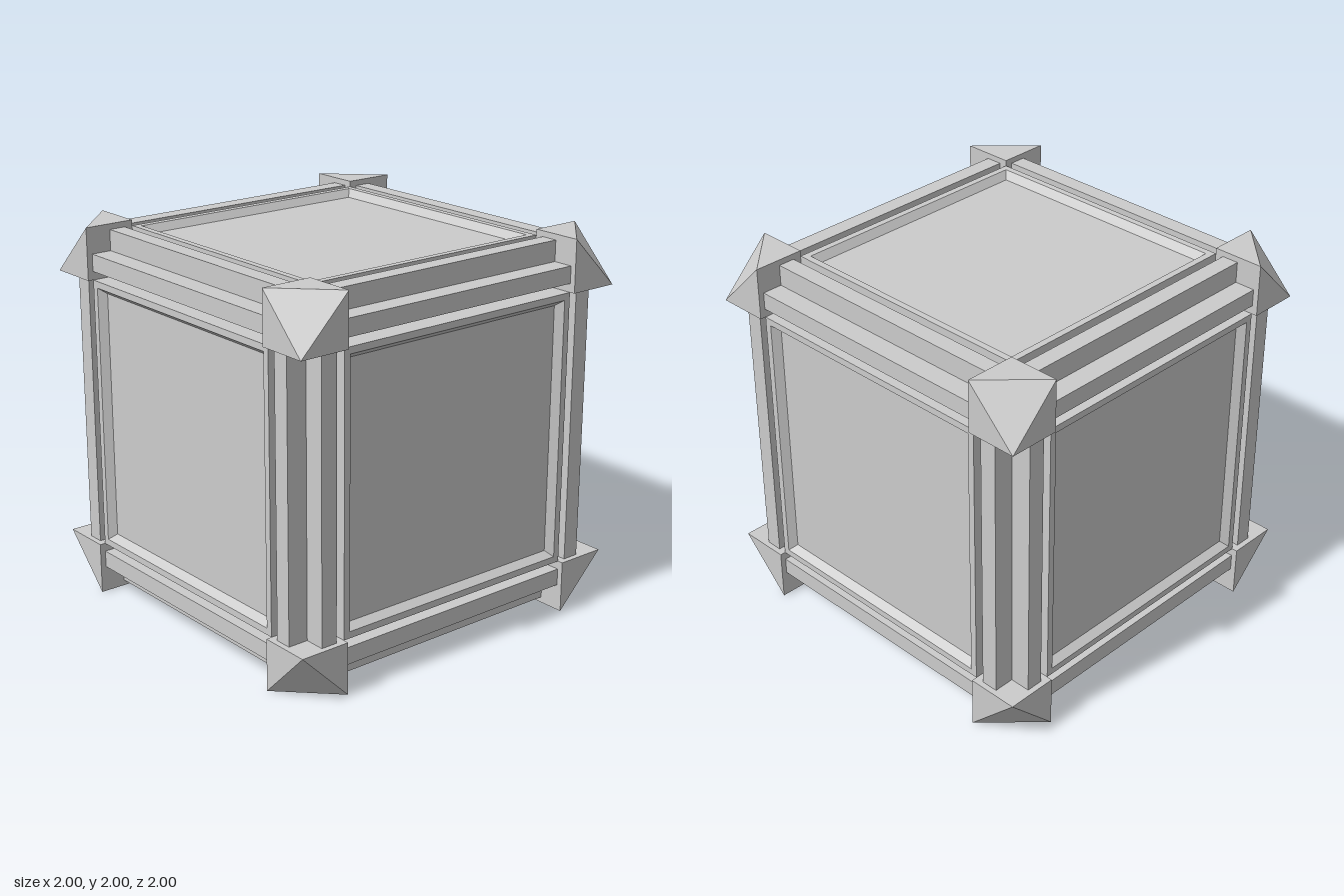
import * as THREE from 'three';
import { ConvexGeometry } from 'three/addons/geometries/ConvexGeometry.js';

const OUT = 0.97;     // outer face of beams and panels
const INNER = 0.725;  // where the corner caps begin
const HALF_PI = Math.PI / 2;

export function createModel() {
  const model = new THREE.Group();
  const crate = new THREE.Group();
  crate.name = 'crate';
  crate.position.y = 1;
  model.add(crate);

  const mat = new THREE.MeshStandardMaterial({ color: 0xcccccc, flatShading: true });
  const add = (name, geometry) => {
    const mesh = new THREE.Mesh(geometry, mat);
    mesh.name = name;
    crate.add(mesh);
    return mesh;
  };
  const faceted = (geometry) => {
    const g = geometry.toNonIndexed();
    g.computeVertexNormals();
    return g;
  };

  // Inner body, seen only as the floor of the grooves
  add('core', new THREE.BoxGeometry(1.7, 1.7, 1.7));

  // Square panel with a raised rim and a bevelled recess: four-sided lathe
  const profile = [[INNER, 0.84], [INNER, OUT], [0.69, OUT], [0.66, 0.93], [0, 0.93]]
    .map(([r, y]) => new THREE.Vector2(r * Math.SQRT2, y));
  const panelGeo = faceted(new THREE.LatheGeometry(profile, 4, Math.PI / 4));
  for (let i = 0; i < 4; i++) add('panel', panelGeo).rotation.x = i * HALF_PI;
  for (const s of [-1, 1]) add('panel', panelGeo).rotation.z = s * HALF_PI;

  // Edge beam with a square notch along its outer corner
  const section = new THREE.Shape(
    [[0.77, 0.77], [OUT, 0.77], [OUT, 0.86], [0.86, 0.86], [0.86, OUT], [0.77, OUT]]
      .map(([x, y]) => new THREE.Vector2(x, y)));
  const beamGeo = new THREE.ExtrudeGeometry(section, { depth: 2 * INNER, bevelEnabled: false });
  beamGeo.translate(0, 0, -INNER);
  const axes = [[0, 0], [0, HALF_PI], [HALF_PI, 0]]; // along z, x and y
  for (const [rx, ry] of axes) {
    for (let i = 0; i < 4; i++) add('edgeBeam', beamGeo).rotation.set(rx, ry, i * HALF_PI);
  }

  // Corner caps: cubes with the outermost corner sliced off
  for (const sx of [-1, 1]) for (const sy of [-1, 1]) for (const sz of [-1, 1]) {
    const points = [];
    for (let k = 0; k < 7; k++) {
      points.push(new THREE.Vector3(
        sx * (k & 1 ? 1 : INNER), sy * (k & 2 ? 1 : INNER), sz * (k & 4 ? 1 : INNER)));
    }
    add('cornerCap', new ConvexGeometry(points));
  }
  return model;
}
